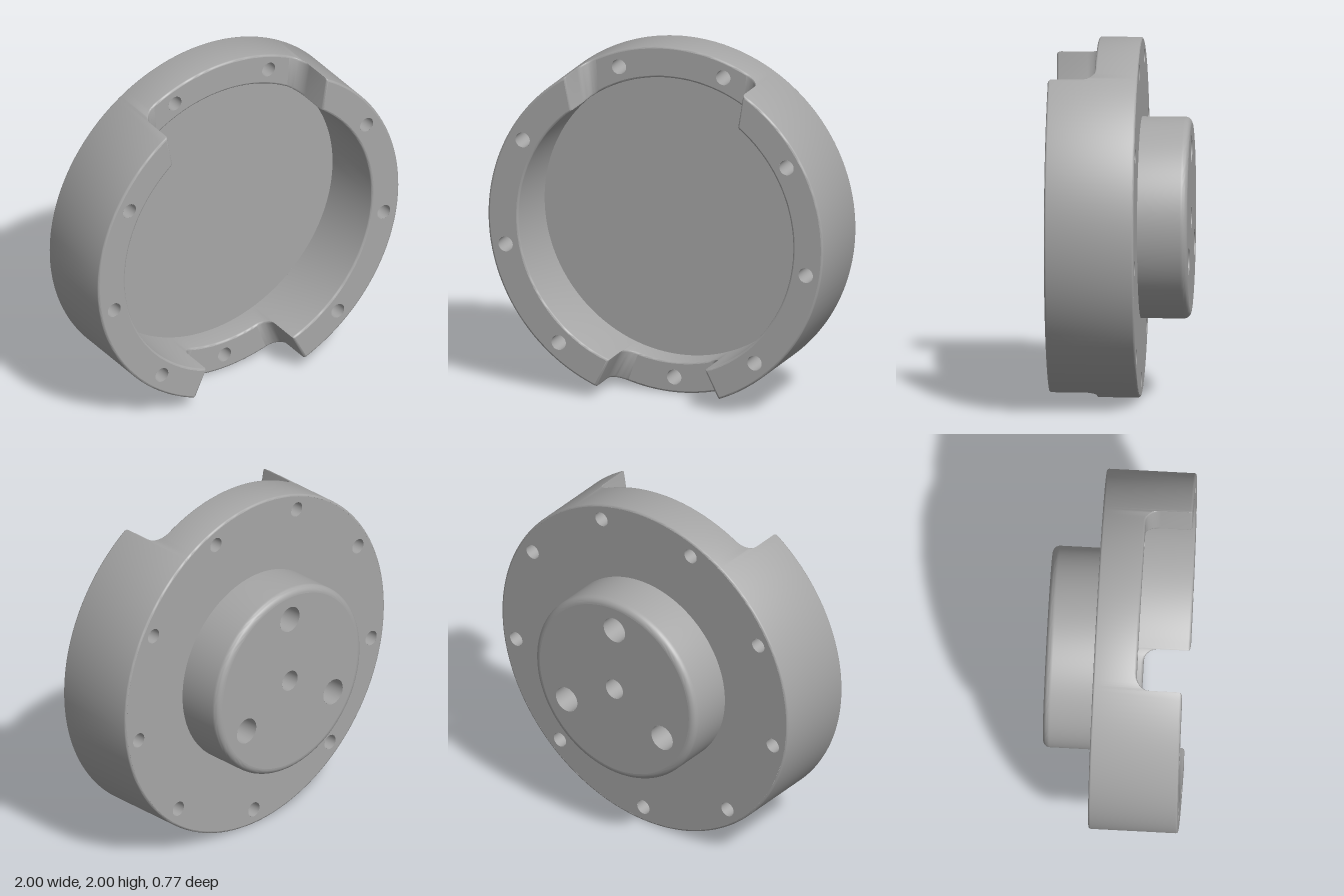
import * as THREE from 'three';
import { toCreasedNormals } from 'three/addons/utils/BufferGeometryUtils.js';

const RAD = Math.PI / 180;
const R_OUT = 1, R_IN = 0.82, BEVEL = 0.012;
const BACK = -0.11, FLOOR = -0.01, NOTCH = 0.13, FRONT = 0.387;
const BOSS_R = 0.56, BOSS_BACK = -0.387, BOSS_FILLET = 0.04;
const BOLT_R = 0.91, BOLT_HOLE = 0.043, TILT = 0.6;
const STEPS = 3; // segments in each small rounded edge

const polar = (r, deg) => new THREE.Vector2(r * Math.cos(deg * RAD), r * Math.sin(deg * RAD));

function circle(Kind, r, centre = { x: 0, y: 0 }) {
  return new Kind().absarc(centre.x, centre.y, r, 0, Math.PI * 2, false);
}

export function createModel() {
  const metal = new THREE.MeshStandardMaterial({ color: 0xa6a6a6, side: THREE.DoubleSide });
  metal.name = 'grey metal';
  const model = new THREE.Group();
  model.name = 'flangedHousing';

  function add(name, geometry) {
    const mesh = new THREE.Mesh(geometry, metal);
    mesh.name = name;
    mesh.position.y = 1;
    model.add(mesh);
  }

  // Flat face; back faces are mirrored and turned to look along -z
  function face(name, shape, z, back = false) {
    const g = new THREE.ShapeGeometry(shape, 48);
    if (back) g.rotateY(Math.PI);
    add(name, g.translate(0, 0, z));
  }

  // Inner wall of a round hole running along z
  function bore(name, r, p, z0, z1) {
    const g = new THREE.CylinderGeometry(r, r, z1 - z0, 32, 1, true);
    add(name, g.rotateX(Math.PI / 2).translate(p.x, p.y, (z0 + z1) / 2));
  }

  // Stations round the rim: angles at inner and outer radius, and height
  const notches = [
    { centre: 90 + TILT, inner: 37.2, outer: 32.0 },
    { centre: 270 + TILT, inner: 20.4, outer: 21.4 },
  ];
  const ramp = [];
  for (let i = 0; i <= STEPS; i++) {
    const t = (i / STEPS) * Math.PI / 2;
    ramp.push([BEVEL * (Math.sin(t) - 1), FRONT - BEVEL * (1 - Math.cos(t))]);
  }
  const FILLET = 0.085;
  for (let i = 0; i <= 8; i++) {
    const t = (i / 8) * Math.PI / 2;
    ramp.push([FILLET * (1 - Math.cos(t)), NOTCH + FILLET * (1 - Math.sin(t))]);
  }
  const stations = [];
  const runs = [];
  function flatRun(to, z, count) {
    const from = stations[stations.length - 1];
    const start = stations.length - 1;
    from.flat = true;
    for (let i = 1; i < count; i++) {
      const t = i / count;
      stations.push({
        ai: THREE.MathUtils.lerp(from.ai, to.ai, t),
        ao: THREE.MathUtils.lerp(from.ao, to.ao, t), z, flat: true,
      });
    }
    runs.push({ start, end: start + count, z });
  }
  const rampStation = (n, side, [d, z]) => {
    const shift = d / BOLT_R / RAD;
    return {
      ai: n.centre + side * (n.inner - shift),
      ao: n.centre + side * (n.outer - shift), z, flat: false,
    };
  };
  const upRamp = ramp.slice().reverse();
  notches.forEach((n, k) => {
    ramp.forEach((p) => stations.push(rampStation(n, -1, p)));
    flatRun(rampStation(n, 1, upRamp[0]), NOTCH, 28);
    upRamp.forEach((p) => stations.push(rampStation(n, 1, p)));
    const next = k === 0 ? notches[1] : { ...notches[0], centre: notches[0].centre + 360 };
    flatRun(rampStation(next, -1, ramp[0]), FRONT, 60);
  });
  stations.push({ ...rampStation(notches[0], -1, ramp[0]) });
  const last = stations[stations.length - 1];
  last.ai += 360;
  last.ao += 360;

  // Wall cross-section: up the inside, over the rim, down the outside
  const profile = (h) => {
    const pts = [[R_IN, FLOOR]];
    const arc = (cx, cz, from) => {
      for (let i = 0; i <= STEPS; i++) {
        const a = (from - 90 * i / STEPS) * RAD;
        pts.push([cx + BEVEL * Math.cos(a), cz + BEVEL * Math.sin(a)]);
      }
    };
    arc(R_IN + BEVEL, h - BEVEL, 180);
    arc(R_OUT - BEVEL, h - BEVEL, 90);
    arc(R_OUT - BEVEL, BACK + BEVEL, 0);
    return pts;
  };
  const at = (s, r) => polar(r, THREE.MathUtils.mapLinear(r, R_IN, R_OUT, s.ai, s.ao));
  const positions = [], index = [];
  const cols = 1 + 3 * (STEPS + 1), topCol = 1 + STEPS;
  stations.forEach((s, i) => {
    profile(s.z).forEach(([r, z], j) => {
      const p = at(s, r);
      positions.push(p.x, p.y, z);
      if (i === stations.length - 1 || j === cols - 1) return;
      if (j === topCol && s.flat) return; // flat tops are drilled faces
      const a = i * cols + j, b = a + 1, c = a + cols, d = c + 1;
      index.push(a, b, c, b, d, c);
    });
  });
  const wall = new THREE.BufferGeometry();
  wall.setAttribute('position', new THREE.Float32BufferAttribute(positions, 3));
  wall.setIndex(index);
  add('notchedWall', toCreasedNormals(wall, 0.6));

  // Nine bolt holes
  const boltAngles = Array.from({ length: 9 }, (_, k) => 270 + TILT + 40 * k);

  // Drilled rim faces and notch floors
  runs.forEach(({ start, end, z }) => {
    const part = stations.slice(start, end + 1);
    const outer = part.map((s) => at(s, R_OUT - BEVEL));
    const inner = part.map((s) => at(s, R_IN + BEVEL)).reverse();
    const shape = new THREE.Shape([...outer, ...inner]);
    const a0 = part[0].ao, a1 = part[part.length - 1].ao;
    boltAngles.forEach((a) => {
      const turned = a0 + THREE.MathUtils.euclideanModulo(a - a0, 360);
      if (turned > a1) return;
      const p = polar(BOLT_R, a);
      shape.holes.push(circle(THREE.Path, BOLT_HOLE, p));
      bore('boltHole', BOLT_HOLE, p, BACK, z);
    });
    face(z === NOTCH ? 'notchFloor' : 'rimFace', shape, z);
  });

  // Pocket floor
  face('pocketFloor', circle(THREE.Shape, R_IN), FLOOR);

  // Back flange face
  const flange = circle(THREE.Shape, R_OUT - BEVEL);
  flange.holes.push(circle(THREE.Path, BOSS_R));
  boltAngles.forEach((a) => {
    const p = polar(BOLT_R, a);
    flange.holes.push(circle(THREE.Path, BOLT_HOLE, { x: -p.x, y: p.y }));
  });
  face('flangeBack', flange, BACK, true);

  // Rear boss with rounded edge
  const bossProfile = [new THREE.Vector2(BOSS_R, -BACK)];
  for (let i = 0; i <= 8; i++) {
    const p = polar(BOSS_FILLET, i * 90 / 8);
    bossProfile.push(new THREE.Vector2(BOSS_R - BOSS_FILLET + p.x, -BOSS_BACK - BOSS_FILLET + p.y));
  }
  const boss = new THREE.LatheGeometry(bossProfile, 96).rotateX(-Math.PI / 2);
  add('bossWall', toCreasedNormals(boss, 0.6));

  // Boss end face with a centre hole and three blind mounting holes
  const bossFace = circle(THREE.Shape, BOSS_R - BOSS_FILLET);
  const sockets = [{ p: polar(0, 0), r: 0.06 }];
  [90, 210, 330].forEach((a) => sockets.push({ p: polar(0.385, a), r: 0.075 }));
  sockets.forEach(({ p, r }) => {
    bossFace.holes.push(circle(THREE.Path, r, { x: -p.x, y: p.y }));
    bore('mountingHole', r, p, BOSS_BACK, BACK);
    face('mountingHoleEnd', circle(THREE.Shape, r, { x: -p.x, y: p.y }), BACK, true);
  });
  face('bossFace', bossFace, BOSS_BACK, true);

  return model;
}
